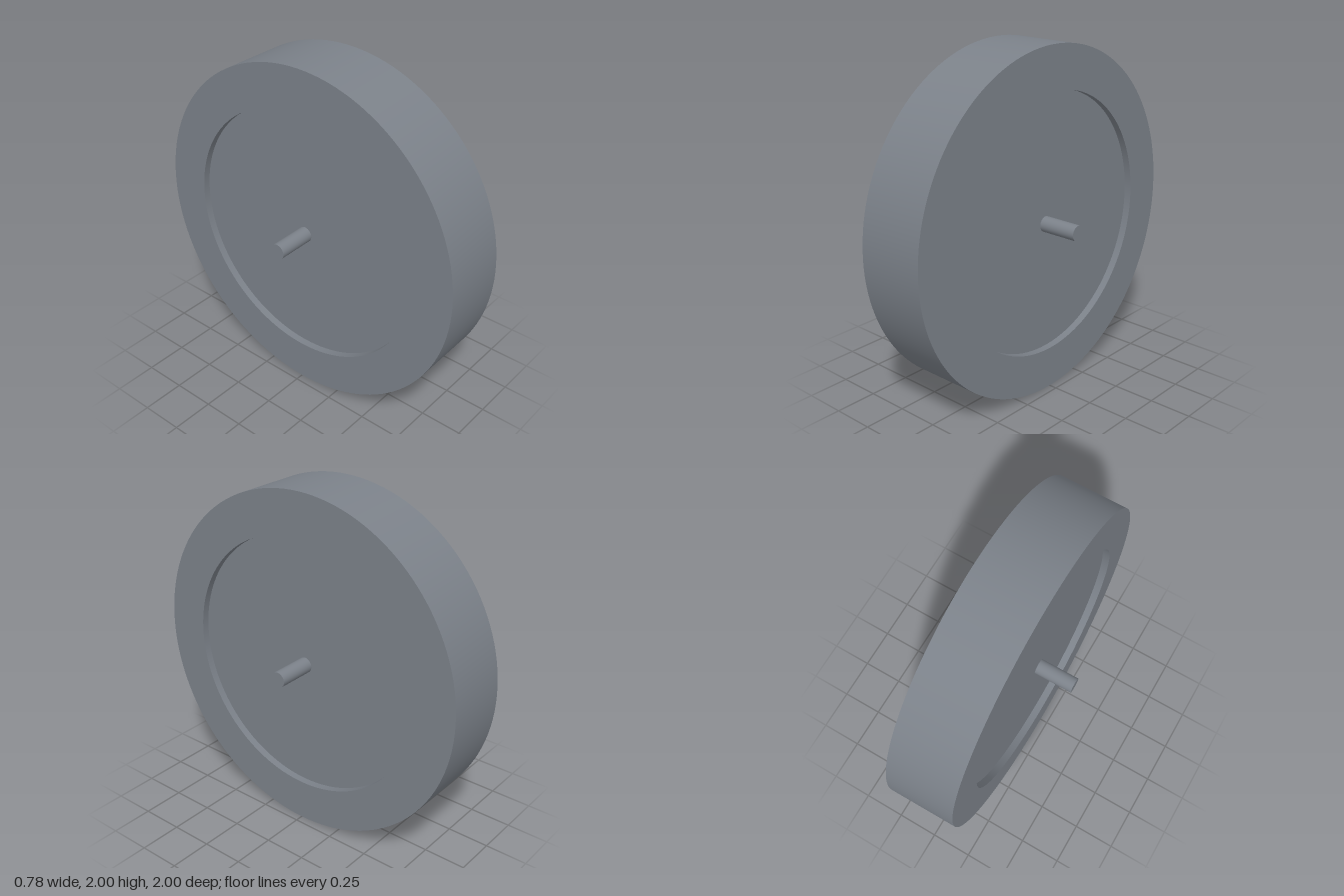
import * as THREE from 'three';
import { toCreasedNormals } from 'three/addons/utils/BufferGeometryUtils.js';

const SEGMENTS = 128;
const RIM_RADIUS = 1, DISC_RADIUS = 0.753, AXLE_RADIUS = 0.045;
const RIM_HALF = 0.203, DISC_HALF = 0.16, AXLE_HALF = 0.39;

export function createModel() {
  const material = new THREE.MeshStandardMaterial({ color: 0x7b8189 });
  const model = new THREE.Group();
  model.name = 'wheel';

  // Every part is turned around the x axis
  const addPart = (name, geometry) => {
    const mesh = new THREE.Mesh(geometry.rotateZ(-Math.PI / 2), material);
    mesh.name = name;
    mesh.position.y = RIM_RADIUS;
    model.add(mesh);
  };

  // Rim: a rectangular ring
  const profile = [
    [DISC_RADIUS, -RIM_HALF], [RIM_RADIUS, -RIM_HALF],
    [RIM_RADIUS, RIM_HALF], [DISC_RADIUS, RIM_HALF], [DISC_RADIUS, -RIM_HALF],
  ].map(([r, y]) => new THREE.Vector2(r, y));
  addPart('rim', toCreasedNormals(new THREE.LatheGeometry(profile, SEGMENTS), 0.6));

  // Disc: recessed on both sides of the rim
  addPart('disc', new THREE.CylinderGeometry(DISC_RADIUS, DISC_RADIUS, DISC_HALF * 2, SEGMENTS));

  // Axle: runs through the disc and sticks out at both ends
  addPart('axle', new THREE.CylinderGeometry(AXLE_RADIUS, AXLE_RADIUS, AXLE_HALF * 2, 48));

  // The wheel stands very slightly turned
  model.rotation.y = 0.005;
  return model;
}
